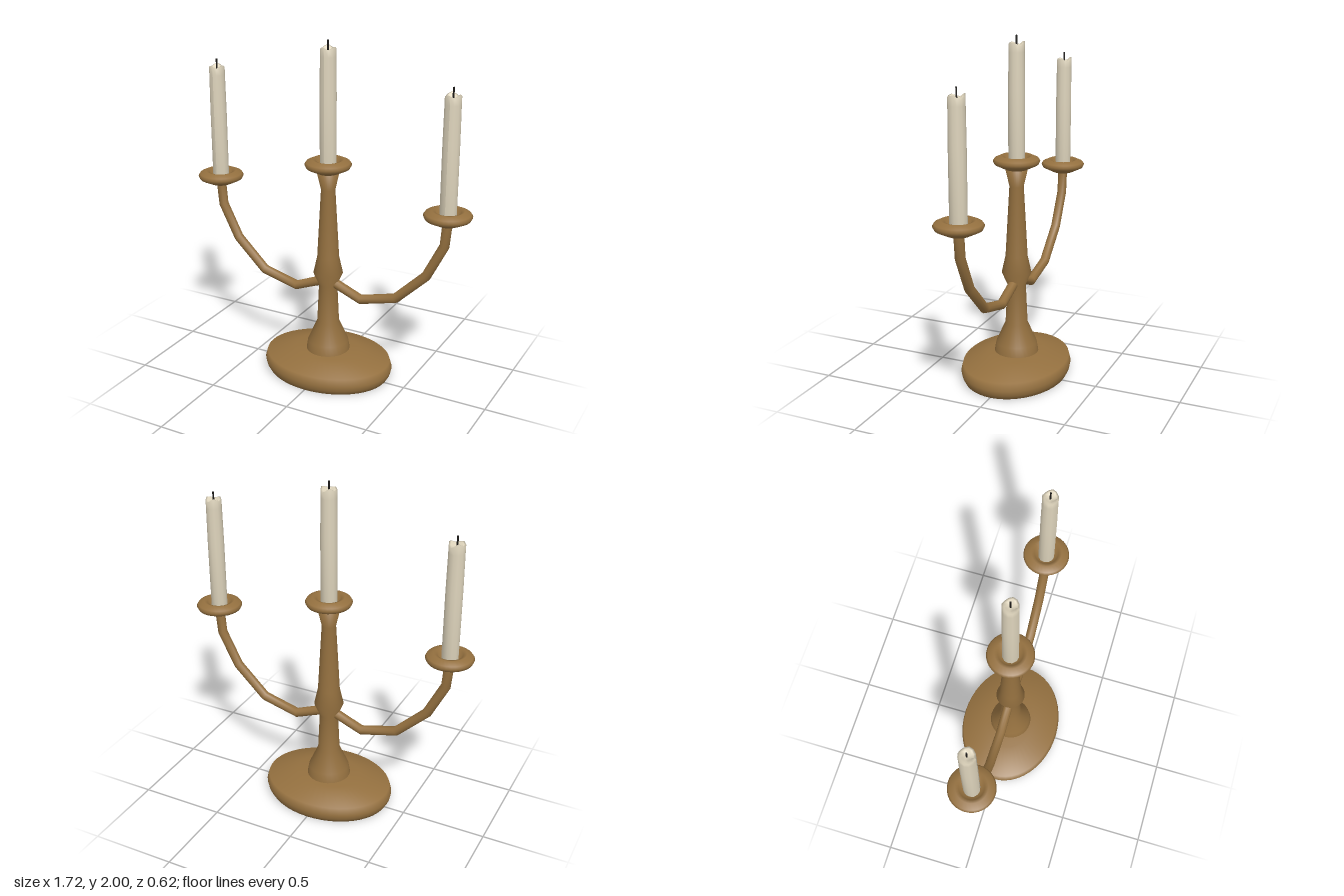
import * as THREE from 'three';

const brass = new THREE.MeshStandardMaterial({ color: 0x94703f });
const wax = new THREE.MeshStandardMaterial({ color: 0xded4bc });
const char = new THREE.MeshStandardMaterial({ color: 0x1c1a18 });

const ARM_X = 0.727;

// Surface of revolution from [radius, height] pairs, listed bottom to top
function lathe(points, segments) {
  return new THREE.LatheGeometry(points.map(([r, y]) => new THREE.Vector2(r, y)), segments);
}

function part(name, geometry, material) {
  const mesh = new THREE.Mesh(geometry, material);
  mesh.name = name;
  return mesh;
}

// Straight runs between corner points, one tube ring per corner
class Polyline extends THREE.Curve {
  constructor(points) {
    super();
    this.points = points;
  }
  getUtoTmapping(u) {
    return u;
  }
  getPoint(t, target = new THREE.Vector3()) {
    const f = t * (this.points.length - 1);
    const i = Math.min(Math.floor(f), this.points.length - 2);
    return target.lerpVectors(this.points[i], this.points[i + 1], f - i);
  }
}

// Shallow dish with a rounded rim and a hollow for the candle; y = 0 is its underside
function makeCup() {
  return part('dripCup', lathe([
    [0, 0], [0.06, 0], [0.125, 0.032], [0.134, 0.05], [0.125, 0.064],
    [0.09, 0.08], [0.07, 0.074], [0.052, 0.045], [0, 0.035],
  ], 32), brass);
}

// Candle with an uneven melted rim, plus its wick; y = 0 is its foot
function makeCandle(height) {
  const candle = new THREE.Group();
  candle.name = 'candle';
  const body = lathe([
    [0, 0], [0.047, 0], [0.047, height * 0.6], [0.045, height - 0.06],
    [0.045, height - 0.006], [0.034, height - 0.006], [0.022, height - 0.028], [0, height - 0.03],
  ], 12);
  const pos = body.attributes.position;
  for (let i = 0; i < pos.count; i++) {
    const x = pos.getX(i), z = pos.getZ(i), y = pos.getY(i);
    if (y > height - 0.01) {
      const a = Math.atan2(z, x);
      pos.setY(i, y - 0.008 + 0.009 * Math.cos(3 * a) + 0.004 * Math.sin(2 * a));
    }
  }
  body.computeVertexNormals();
  const wick = part('wick', new THREE.CylinderGeometry(0.005, 0.005, 0.062, 6), char);
  wick.position.y = height;
  candle.add(part('wax', body, wax), wick);
  return candle;
}

export function createModel() {
  const model = new THREE.Group();
  model.name = 'candelabra';

  // Oval foot
  const foot = lathe([
    [0, 0], [0.375, 0], [0.39, 0.025], [0.397, 0.055], [0.383, 0.1], [0.2, 0.145], [0, 0.147],
  ], 48);
  foot.scale(1, 1, 0.78);
  model.add(part('base', foot, brass));

  // Turned stem with a knop where the arms meet it
  model.add(part('stem', lathe([
    [0.13, 0.14], [0.12, 0.2], [0.065, 0.325], [0.054, 0.56], [0.086, 0.635],
    [0.064, 0.735], [0.041, 1.15], [0.064, 1.25], [0, 1.255],
  ], 32), brass));

  // Central cup and candle
  const cup = makeCup();
  cup.position.y = 1.248;
  const candle = makeCandle(0.685);
  candle.position.y = 1.283;
  model.add(cup, candle);

  // Mirrored arms, each carrying a cup and candle
  const armPath = [[0.02, 0.585], [0.213, 0.507], [0.433, 0.565], [0.614, 0.74], [0.715, 0.94], [ARM_X, 1.08]];
  for (const side of [1, -1]) {
    const branch = new THREE.Group();
    branch.name = side > 0 ? 'leftBranch' : 'rightBranch';
    const path = new Polyline(armPath.map(([x, y]) => new THREE.Vector3(side * x, y, 0)));
    const sideCup = makeCup();
    sideCup.position.set(side * ARM_X, 1.07, 0);
    const sideCandle = makeCandle(0.685);
    sideCandle.position.set(side * ARM_X, 1.107, 0);
    branch.add(part('arm', new THREE.TubeGeometry(path, armPath.length - 1, 0.028, 12), brass), sideCup, sideCandle);
    model.add(branch);
  }

  return model;
}
